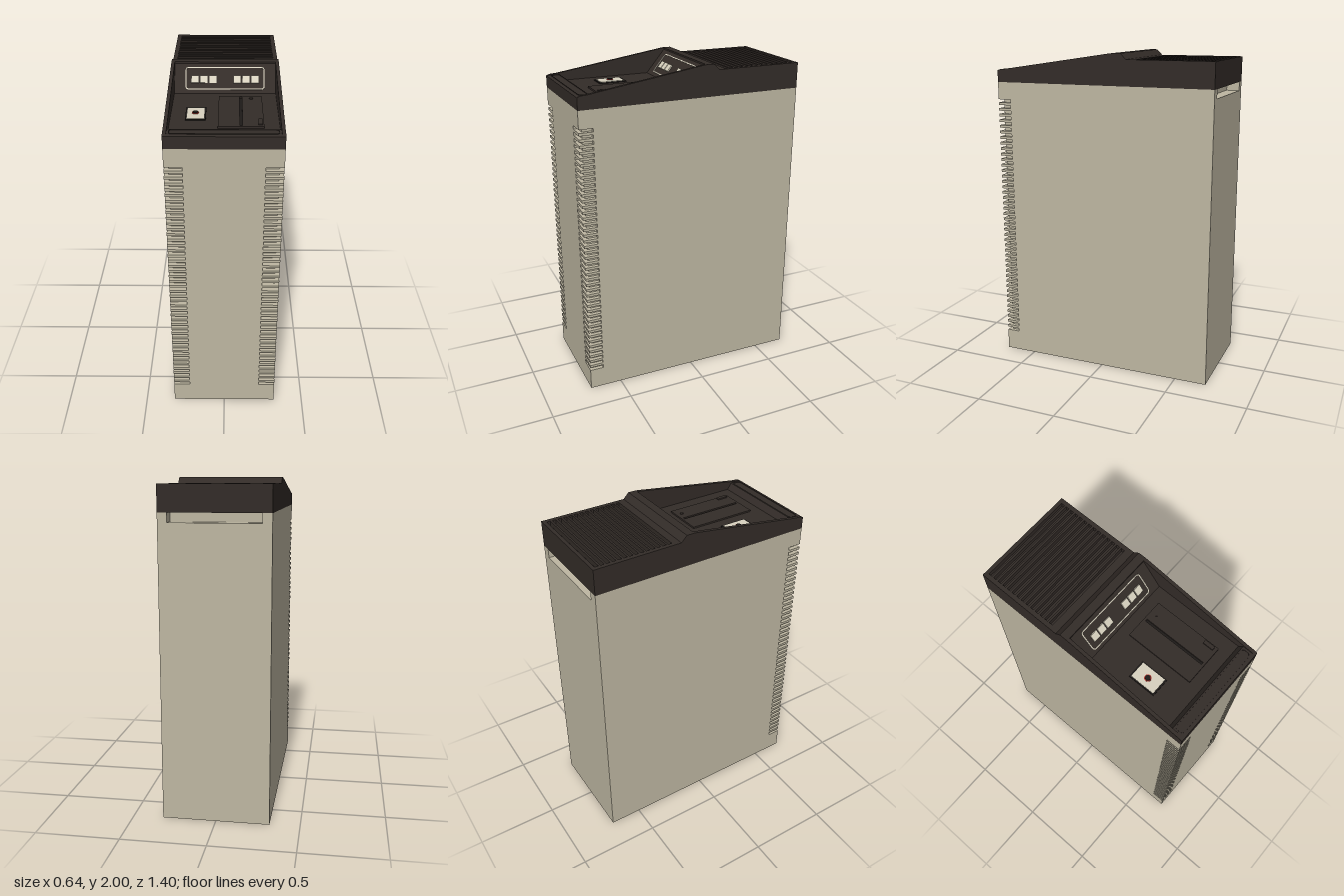
import * as THREE from 'three';

const mat = (color, side = THREE.FrontSide) => new THREE.MeshStandardMaterial({ color, side });

// Closed polygon from [a, b] points
const poly = (pts) => new THREE.Shape(pts.map(([a, b]) => new THREE.Vector2(a, b)));
const rect = (a0, a1, b0, b1) => poly([[a0, b0], [a1, b0], [a1, b1], [a0, b1]]);

// Rounded rectangle centred on the origin
function roundRect(w, h, r) {
  const s = new THREE.Shape(), x = w / 2, y = h / 2;
  s.absarc(x - r, y - r, r, 0, Math.PI / 2);
  s.absarc(-x + r, y - r, r, Math.PI / 2, Math.PI);
  s.absarc(-x + r, -y + r, r, Math.PI, Math.PI * 1.5);
  s.absarc(x - r, -y + r, r, Math.PI * 1.5, Math.PI * 2);
  return s;
}

const extrude = (shape, depth) =>
  new THREE.ExtrudeGeometry(shape, { depth, bevelEnabled: false, curveSegments: 6 });

// Plan outline drawn in (x, -z), raised from y0 to y1
const slab = (shape, y0, y1) => extrude(shape, y1 - y0).rotateX(-Math.PI / 2).translate(0, y0, 0);

// Side profile drawn in (z, y), spanning x0 to x1
const side = (pts, x0, x1) => extrude(poly(pts), x1 - x0).rotateY(-Math.PI / 2).translate(x1, 0, 0);

function outline(w, h, r, t) {
  const s = roundRect(w, h, r);
  s.holes.push(roundRect(w - 2 * t, h - 2 * t, r - t));
  return s;
}

export function createModel() {
  const model = new THREE.Group();
  const beige = mat(0xbeb7a2), dark = mat(0x332c28), black = mat(0x1d1a18);
  const cream = mat(0xd8d2bf), brown = mat(0x5a4b40), red = mat(0xb03028);
  const add = (name, geo, material, parent = model) => {
    const m = new THREE.Mesh(geo, material);
    m.name = name;
    parent.add(m);
    return m;
  };
  const box = (name, x0, x1, y0, y1, z0, z1, material, parent) =>
    add(name, new THREE.BoxGeometry(x1 - x0, y1 - y0, z1 - z0)
      .translate((x0 + x1) / 2, (y0 + y1) / 2, (z0 + z1) / 2), material, parent);

  const W = 0.32, D = 0.7, slot0 = 0.132, slot1 = 1.702, cut = 0.025;

  // Cabinet, stacked in layers
  const body = new THREE.Group();
  body.name = 'cabinet';
  model.add(body);
  const rim = rect(-W, W, -D, D);
  rim.holes.push(rect(-0.285, 0.285, -0.665, 0.665));
  add('bottomRim', slab(rim, 0, 0.02), beige, body);
  box('lowerCabinet', -W, W, 0.02, slot0, -D, D, beige, body);
  const xi = 0.22, zi = 0.615;
  add('mainCabinet', slab(poly([
    [-W, D], [-W, -zi], [-W + cut, -zi], [-W + cut, -D + cut], [-xi, -D + cut], [-xi, -D],
    [xi, -D], [xi, -D + cut], [W - cut, -D + cut], [W - cut, -zi], [W, -zi], [W, D],
  ]), slot0, slot1), beige, body);
  box('upperCabinet', -W, W, slot1, 1.755, -D, D, beige, body);
  add('cabinetTopWithHandle', slab(poly([
    [-W, -D], [W, -D], [W, D], [0.265, D], [0.265, D - 0.08], [-0.265, D - 0.08], [-0.265, D], [-W, D],
  ]), 1.755, 1.81), beige, body);

  // Fins wrapping the two front corners, with slots between them
  const slots = 44, slotH = 0.02, pitch = (slot1 - slot0 - slotH) / (slots - 1);
  for (const s of [-1, 1]) {
    const fin = slab(poly([
      [s * xi, -D], [s * W, -D], [s * W, -zi], [s * (W - cut), -zi],
      [s * (W - cut), -D + cut], [s * xi, -D + cut],
    ]), 0, pitch - slotH);
    for (let i = 0; i < slots - 1; i++) {
      add('cornerFin', fin, beige, body).position.y = slot0 + slotH + i * pitch;
    }
  }

  // Underside: label panel in a raised frame, and rows of vent tabs
  const base = new THREE.Group();
  base.name = 'underside';
  model.add(base);
  box('basePanel', -0.17, 0.17, 0.012, 0.022, -0.6, 0.54, brown, base);
  const frame = rect(-0.19, 0.19, -0.56, 0.62);
  frame.holes.push(rect(-0.17, 0.17, -0.54, 0.6));
  add('basePanelFrame', slab(frame, 0.004, 0.022), beige, base);
  for (const s of [-1, 1]) {
    for (let i = 0; i < 7; i++) {
      const z = -0.54 + i * 0.18, x = s * 0.235;
      const tab = rect(x - 0.025, x + 0.025, -z - 0.055, -z + 0.055);
      tab.holes.push(rect(x - 0.017, x + 0.017, -z - 0.047, -z + 0.047));
      add('baseVent', slab(tab, 0.006, 0.022), beige, base);
      box('baseVentInset', x - 0.017, x + 0.017, 0.015, 0.022, z - 0.047, z + 0.047, black, base);
    }
  }

  // Cap: side rails around a recessed control deck
  const cap = new THREE.Group();
  cap.name = 'cap';
  model.add(cap);
  const rail = [[D, 1.81], [D, 1.882], [0.68, 1.89], [0.64, 1.893], [-0.05, 1.996], [-0.08, 2],
    [-0.13, 2], [-0.165, 1.965], [-D, 1.965], [-D, 1.81]];
  add('rightRail', side(rail, -W, -0.3), dark, cap);
  add('leftRail', side(rail, 0.3, W), dark, cap);
  const deckY = 1.848;
  add('controlDeck', side([[D, 1.81], [D, 1.882], [0.68, 1.886], [0.62, 1.886], [0.595, deckY],
    [0.04, deckY], [-0.08, 1.99], [-0.08, 2], [-0.13, 2], [-0.165, 1.965], [-0.165, 1.935],
    [-D, 1.935], [-D, 1.81]], -0.3, 0.3), dark, cap);

  // Rear grille
  const grille = rect(-0.3, 0.3, 0.165, D);
  for (let i = 0; i < 14; i++) {
    const z = 0.222 + i * 0.0342;
    grille.holes.push(rect(-0.294, 0.294, z - 0.011, z + 0.011));
  }
  add('rearGrille', slab(grille, 1.935, 1.965), dark, cap);

  // Sloping button panel
  const panel = new THREE.Group();
  panel.name = 'buttonPanel';
  panel.position.set(0, 1.919, -0.02);
  panel.rotation.x = -Math.atan2(0.12, 0.142);
  cap.add(panel);
  add('buttonFrame', extrude(outline(0.47, 0.14, 0.02, 0.006), 0.003), cream, panel);
  for (const s of [-1, 1]) {
    for (let i = 0; i < 3; i++) {
      const x = s * (0.072 + i * 0.053);
      box('button', x - 0.023, x + 0.023, -0.03, 0.016, 0, 0.008, cream, panel);
    }
  }

  // Disk drive with slot, eject button and lamp
  const drive = rect(-0.035, 0.215, -0.525, -0.105);
  drive.holes.push(rect(0.084, 0.099, -0.51, -0.12));
  add('driveFace', slab(drive, deckY, deckY + 0.01), dark, cap);
  box('driveSlot', 0.084, 0.099, deckY, deckY + 0.001, 0.12, 0.51, black, cap);
  box('ejectButton', 0.185, 0.208, deckY, deckY + 0.018, 0.44, 0.505, dark, cap);
  add('driveLamp', new THREE.CylinderGeometry(0.011, 0.011, 0.014, 16)
    .translate(0.152, deckY + 0.007, 0.142), dark, cap);

  // Key switch
  box('keySwitchSurround', -0.217, -0.103, deckY, deckY + 0.006, 0.257, 0.427, black, cap);
  box('keySwitchPlate', -0.21, -0.11, deckY, deckY + 0.009, 0.267, 0.417, cream, cap);
  add('keyRing', new THREE.CylinderGeometry(0.02, 0.02, 0.012, 20)
    .translate(-0.162, deckY + 0.006, 0.342), red, cap);
  add('keyHole', new THREE.CylinderGeometry(0.015, 0.015, 0.016, 20)
    .translate(-0.162, deckY + 0.008, 0.342), black, cap);

  // Front name strip border, left blank
  add('frontStripBorder', extrude(outline(0.58, 0.056, 0.02, 0.004), 0.004)
    .rotateX(-Math.PI / 2).translate(0, 1.885, 0.652), dark, cap);

  return model;
}
